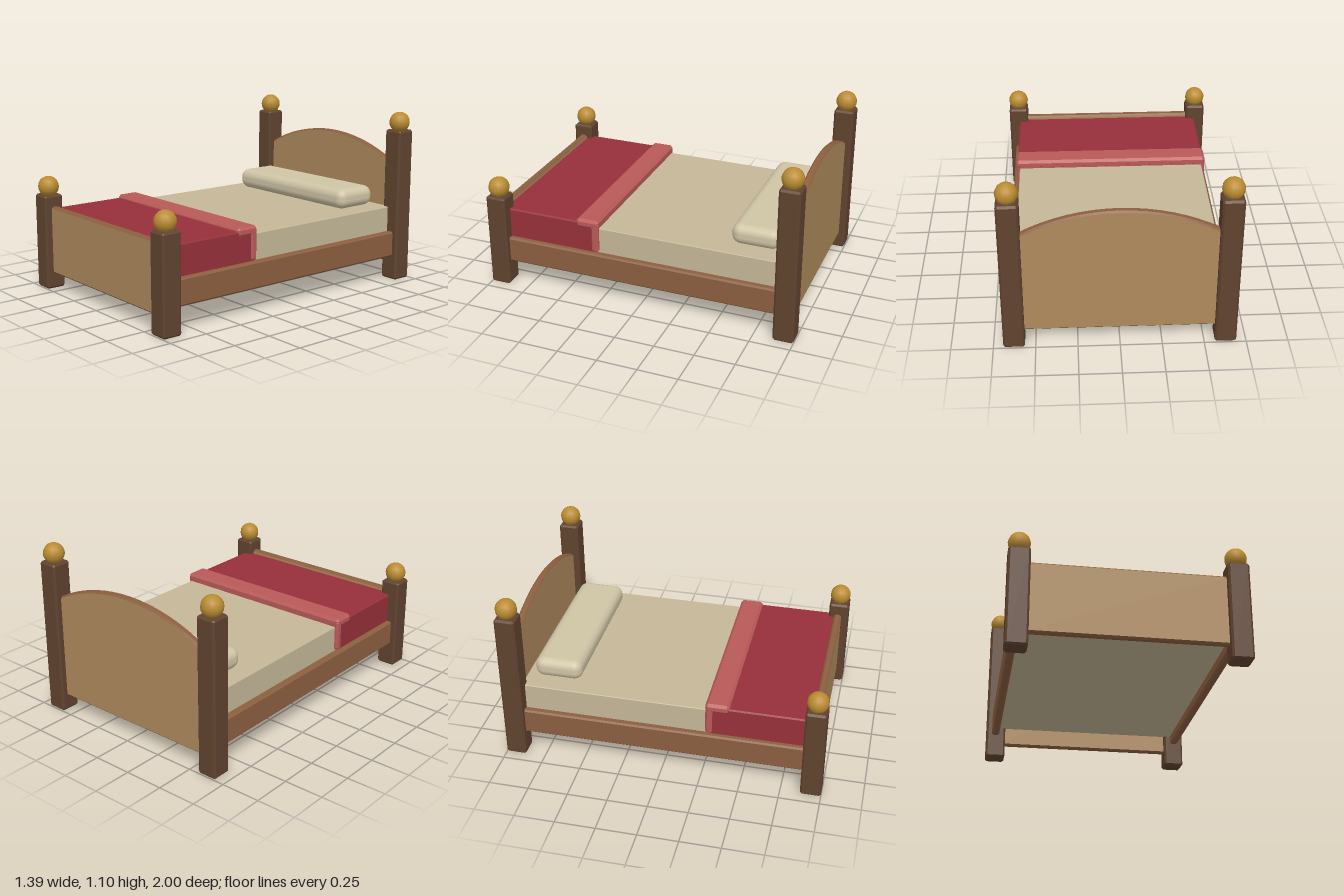
import * as THREE from 'three';
import { ConvexGeometry } from 'three/addons/geometries/ConvexGeometry.js';
import { RoundedBoxGeometry } from 'three/addons/geometries/RoundedBoxGeometry.js';

function material(name, color) {
  const m = new THREE.MeshStandardMaterial({ color });
  m.name = name;
  return m;
}

// Box between two corners with every edge chamfered by c
function chamferBox([x0, y0, z0], [x1, y1, z1], c) {
  const mid = [(x0 + x1) / 2, (y0 + y1) / 2, (z0 + z1) / 2];
  const half = [(x1 - x0) / 2, (y1 - y0) / 2, (z1 - z0) / 2];
  const points = [];
  for (const sx of [-1, 1]) for (const sy of [-1, 1]) for (const sz of [-1, 1]) {
    const s = [sx, sy, sz];
    for (let full = 0; full < 3; full++) {
      const p = s.map((v, i) => mid[i] + v * (half[i] - (i === full ? 0 : c)));
      points.push(new THREE.Vector3(...p));
    }
  }
  return new ConvexGeometry(points);
}

// Upright panel with a bevelled rim; arch raises the middle of its top edge
function panelGeometry(halfWidth, bottom, side, arch, z0, z1) {
  const bevel = 0.01;
  const shape = new THREE.Shape();
  shape.moveTo(-halfWidth, bottom);
  shape.lineTo(halfWidth, bottom);
  shape.lineTo(halfWidth, side);
  if (arch > 0) {
    shape.bezierCurveTo(halfWidth * 0.38, side + arch * 1.33,
      -halfWidth * 0.38, side + arch * 1.33, -halfWidth, side);
  } else {
    shape.lineTo(-halfWidth, side);
  }
  shape.closePath();
  const g = new THREE.ExtrudeGeometry(shape, {
    depth: z1 - z0 - 2 * bevel, curveSegments: 16, bevelEnabled: true,
    bevelThickness: bevel, bevelSize: bevel, bevelOffset: -bevel, bevelSegments: 1,
  });
  g.translate(0, 0, z0 + bevel);
  return g;
}

export function createModel() {
  const group = new THREE.Group();
  group.name = 'bed';
  const darkWood = material('dark wood', 0x60432f);
  const midWood = material('mid wood', 0x8c5f40);
  const paleWood = material('pale wood', 0xae8a5c);
  const gold = material('gold', 0xba8c32);
  const linen = material('linen', 0xc4b798);
  const pillowCloth = material('pillow cloth', 0xcfc4a5);
  const red = material('red blanket', 0x97303a);
  const pink = material('blanket lining', 0xb95a58);

  const add = (name, geometry, mat) => {
    const mesh = new THREE.Mesh(geometry, mat);
    mesh.name = name;
    group.add(mesh);
    return mesh;
  };

  // Posts with ball finials and side rails
  for (const s of [-1, 1]) {
    const side = s > 0 ? 'left' : 'right';
    const x = s * 0.627;
    for (const [end, z, h] of [['Front', 0.936, 0.605], ['Back', -0.936, 0.985]]) {
      add(`${side}${end}Post`,
        chamferBox([x - 0.064, 0, z - 0.064], [x + 0.064, h, z + 0.064], 0.012), darkWood);
      add(`${side}${end}Finial`, new THREE.SphereGeometry(0.066, 14, 10), gold)
        .position.set(x, h + 0.049, z);
    }
    add(`${side}Rail`,
      chamferBox([s * 0.63 - 0.025, 0.155, -0.9], [s * 0.63 + 0.025, 0.32, 0.9], 0.01), midWood);
  }

  // Head and foot panels: pale faces with a darker rim
  add('headboard', panelGeometry(0.58, 0.1, 0.765, 0.15, -0.96, -0.913), [paleWood, midWood]);
  add('footboard', panelGeometry(0.58, 0.1, 0.532, 0, 0.908, 0.955), [paleWood, midWood]);

  // Bedding
  add('mattress', chamferBox([-0.607, 0.21, -0.895], [0.607, 0.48, 0.905], 0.004), linen);
  add('pillow', new RoundedBoxGeometry(1.02, 0.13, 0.3, 4, 0.055), pillowCloth)
    .position.set(0, 0.547, -0.69);
  add('blanket', chamferBox([-0.622, 0.312, 0.3], [0.622, 0.51, 0.912], 0.008), red);

  // Turned-back blanket edge with its hanging sides
  add('blanketFold', chamferBox([-0.63, 0.475, 0.268], [0.63, 0.532, 0.415], 0.016), pink);
  add('blanketFoldDrop', chamferBox([-0.629, 0.32, 0.269], [0.629, 0.52, 0.318], 0.012), pink);

  return group;
}
